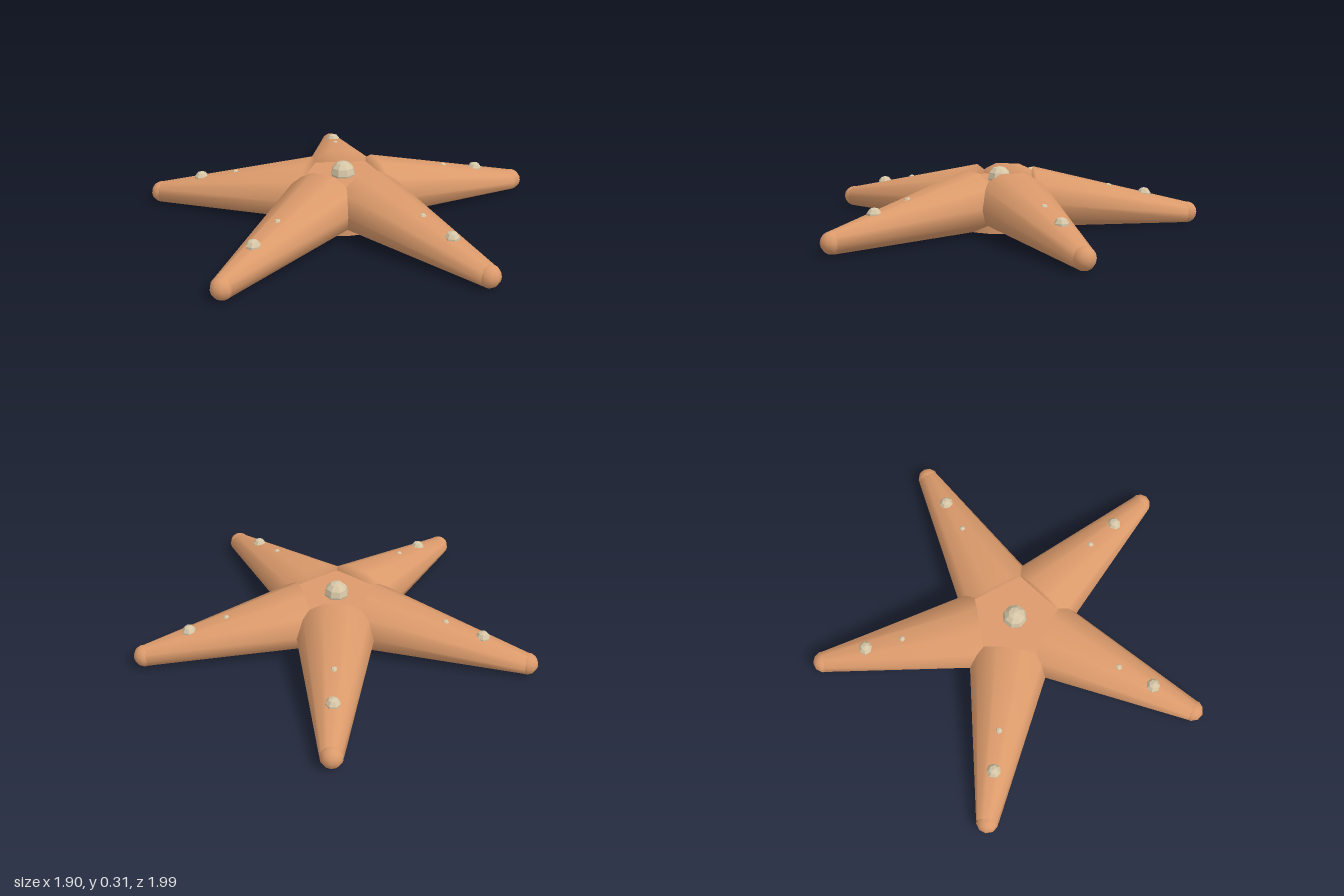
import * as THREE from 'three';
import { mergeVertices } from 'three/addons/utils/BufferGeometryUtils.js';

const skin = new THREE.MeshStandardMaterial({ name: 'sandy orange skin', color: 0xdb9a6b });
const bump = new THREE.MeshStandardMaterial({ name: 'pale bumps', color: 0xd6c6a6 });
bump.flatShading = true;

const CENTRE_X = -0.095;
const ARM_START = 0.18;
const ARM_END = 0.99;

// Ten-sided tapering arm along +x: wide oval root, round tip, underside on the ground.
// Caps share vertices with the sides, so the shading is soft over the root edge.
function armGeometry() {
  const g = new THREE.CylinderGeometry(1, 1, 1, 10, 1).rotateZ(-Math.PI / 2);
  const p = g.attributes.position;
  for (let i = 0; i < p.count; i++) {
    const tip = p.getX(i) > 0;
    const halfWidth = tip ? 0.055 : 0.205;
    const halfHeight = tip ? 0.055 : 0.155;
    const midY = tip ? 0.055 : 0.15;
    p.setXYZ(i, tip ? ARM_END : ARM_START, midY + p.getY(i) * halfHeight, p.getZ(i) * halfWidth);
  }
  g.deleteAttribute('uv');
  g.deleteAttribute('normal');
  const merged = mergeVertices(g, 1e-4);
  merged.computeVertexNormals();
  return merged;
}

function part(name, geometry, material, x = 0, y = 0) {
  const m = new THREE.Mesh(geometry, material);
  m.name = name;
  m.position.set(x, y, 0);
  return m;
}

export function createModel() {
  const model = new THREE.Group();
  model.name = 'starfish';
  const star = new THREE.Group();
  star.name = 'star';
  star.position.x = CENTRE_X;
  model.add(star);

  // Central disc and knob
  star.add(part('centralDisc', new THREE.CylinderGeometry(0.225, 0.225, 0.237, 20), skin, 0, 0.1195));
  star.add(part('centralKnob', new THREE.SphereGeometry(0.062, 8, 6), bump, 0, 0.248));

  // Five arms with rounded tips and two bumps each
  const armGeo = armGeometry();
  const tipGeo = new THREE.SphereGeometry(0.055, 10, 8);
  const largeGeo = new THREE.SphereGeometry(0.038, 7, 5);
  const smallGeo = new THREE.SphereGeometry(0.02, 6, 5);
  for (let i = 0; i < 5; i++) {
    const arm = new THREE.Group();
    arm.name = 'arm' + (i + 1);
    arm.rotation.y = (i * Math.PI * 2) / 5;
    arm.add(
      part('armBody', armGeo, skin),
      part('armTip', tipGeo, skin, ARM_END, 0.055),
      part('largeBump', largeGeo, bump, 0.76, 0.152),
      part('smallBump', smallGeo, bump, 0.57, 0.195),
    );
    star.add(arm);
  }
  return model;
}
